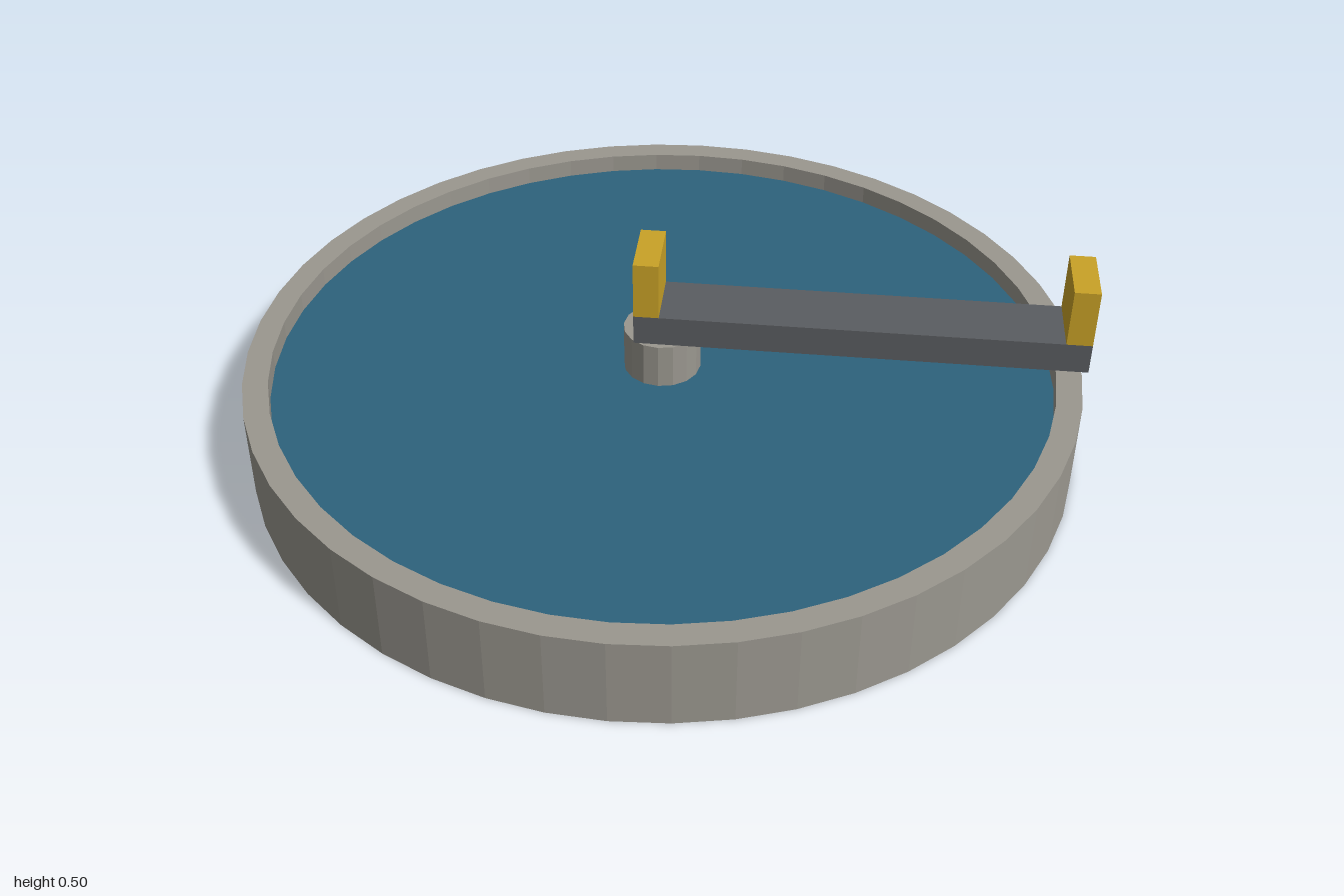
import * as THREE from 'three';

const material = (name, color, flatShading = false) => {
  const m = new THREE.MeshStandardMaterial({ color, flatShading });
  m.name = name;
  return m;
};

export function createModel() {
  const concrete = material('concrete', 0x9a978f, true);
  const water = material('water blue', 0x2d627c);
  const steel = material('dark steel', 0x5a5d61);
  const yellow = material('safety yellow', 0xc9a227);

  const group = new THREE.Group();
  group.name = 'settlingTank';
  const add = (name, geometry, mat, x = 0, y = 0, z = 0) => {
    const mesh = new THREE.Mesh(geometry, mat);
    mesh.name = name;
    mesh.position.set(x, y, z);
    group.add(mesh);
  };

  const SIDES = 48, INNER = 0.94, WATER_TOP = 0.173;

  // Ring wall, a closed rectangular section turned round the axis
  const section = [[INNER, 0], [1, 0], [1, 0.22], [INNER, 0.22], [INNER, 0]];
  add('tankWall', new THREE.LatheGeometry(section.map(([r, y]) => new THREE.Vector2(r, y)), SIDES), concrete);

  // Water body, open to the underside of the tank
  add('water', new THREE.CylinderGeometry(INNER, INNER, WATER_TOP, SIDES), water, 0, WATER_TOP / 2);

  // Central pier carrying the bridge
  const pierBase = 0.01, pierTop = 0.285;
  add('centrePier', new THREE.CylinderGeometry(0.093, 0.093, pierTop - pierBase, 16), concrete, 0, (pierTop + pierBase) / 2);

  // Bridge from the pier to the rim, with an upright at each end
  const width = 0.156, left = -0.06, right = 1, deckTop = 0.36, postTop = 0.503, postLength = 0.06;
  add('bridge', new THREE.BoxGeometry(right - left, deckTop - pierTop, width), steel,
    (left + right) / 2, (pierTop + deckTop) / 2);
  for (const [name, x] of [['innerEndPost', left + postLength / 2], ['outerEndPost', right - postLength / 2]]) {
    add(name, new THREE.BoxGeometry(postLength, postTop - deckTop, width), yellow, x, (deckTop + postTop) / 2);
  }
  return group;
}
